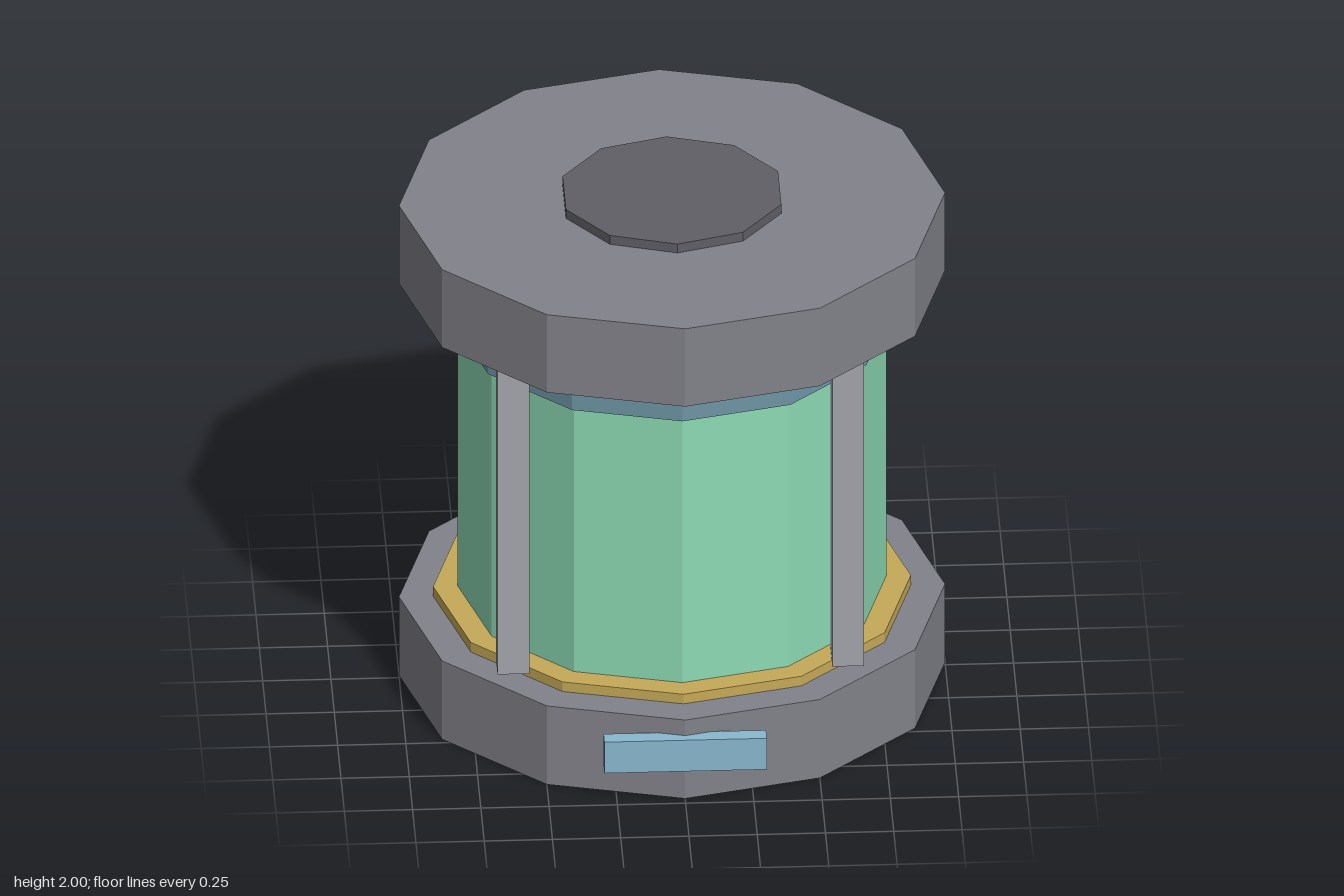
import * as THREE from 'three';

const paint = (name, color) => {
  const m = new THREE.MeshStandardMaterial({ color, flatShading: true });
  m.name = name;
  return m;
};

export function createModel() {
  const body = paint('body grey', 0x82828a);
  const steel = paint('post grey', 0xa4a5ad);
  const dark = paint('cap grey', 0x605f66);
  const glass = paint('glass green', 0x8cdab4);
  const blue = paint('collar blue', 0x6d95a3);
  const gold = paint('ring gold', 0xc6aa58);
  const plate = paint('plate blue', 0x88b9cf);

  const model = new THREE.Group();
  model.name = 'canister';
  const cz = -0.0175; // the drum sits slightly back to leave room for the plate
  const depth = 0.9825; // the drum is slightly shallower than wide

  const add = (name, geometry, material, x, y, z) => {
    const mesh = new THREE.Mesh(geometry, material);
    mesh.name = name;
    mesh.position.set(x, y, z);
    model.add(mesh);
    return mesh;
  };

  // Faceted drum between two heights
  const drum = (name, radius, y0, y1, material, sides = 12) => {
    const geometry = new THREE.CylinderGeometry(radius, radius, y1 - y0, sides);
    geometry.scale(1, 1, depth);
    return add(name, geometry, material, 0, (y0 + y1) / 2, cz);
  };

  drum('base', 1, 0, 0.328, body);
  drum('baseRing', 0.875, 0.328, 0.368, gold);
  drum('tank', 0.785, 0.368, 1.47, glass);
  drum('collar', 0.8, 1.468, 1.638, blue);
  drum('lid', 1, 1.638, 1.963, body);
  drum('cap', 0.415, 1.963, 2, dark, 10);

  // Four corner posts
  for (const sx of [-1, 1]) {
    for (const sz of [-1, 1]) {
      const name = (sz > 0 ? 'front' : 'back') + (sx > 0 ? 'Left' : 'Right') + 'Post';
      add(name, new THREE.BoxGeometry(0.117, 1.278, 0.115), steel,
        sx * 0.613, 0.999, cz + sz * 0.605);
    }
  }

  // Front plate
  add('frontPlate', new THREE.BoxGeometry(0.595, 0.13, 0.062), plate, 0, 0.198, 0.969);

  return model;
}
